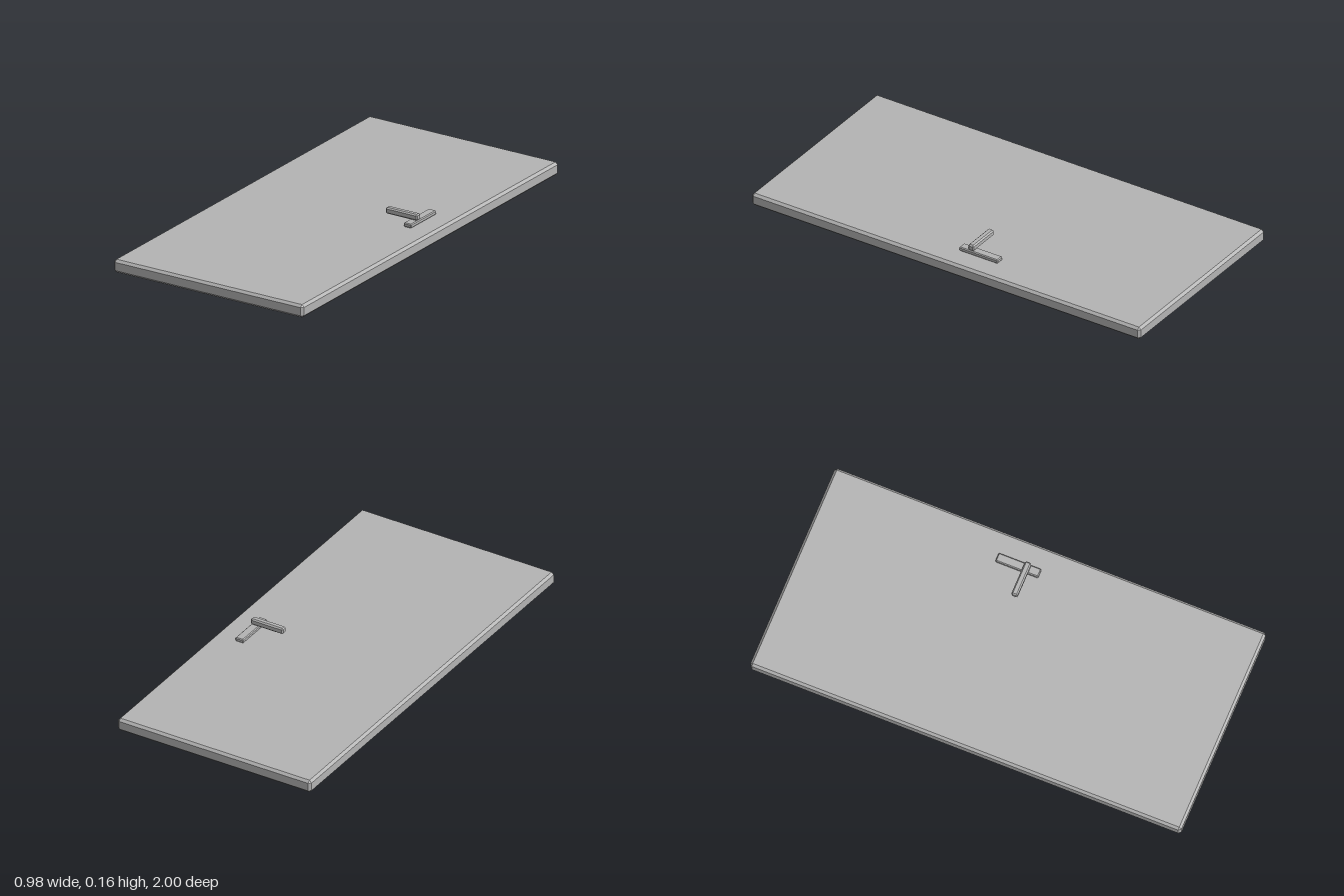
import * as THREE from 'three';
import { ConvexGeometry } from 'three/addons/geometries/ConvexGeometry.js';

// Box with flat chamfers on all edges
function chamferBox(w, h, d, c) {
  const half = [w / 2, h / 2, d / 2];
  const points = [];
  for (const sx of [-1, 1]) for (const sy of [-1, 1]) for (const sz of [-1, 1]) {
    for (let axis = 0; axis < 3; axis++) {
      const [x, y, z] = half.map((v, i) => (i === axis ? v : v - c));
      points.push(new THREE.Vector3(sx * x, sy * y, sz * z));
    }
  }
  return new ConvexGeometry(points);
}

export function createModel() {
  const model = new THREE.Group();
  model.name = 'door';
  const grey = new THREE.MeshStandardMaterial({ color: 0xb4b4b4 });
  grey.name = 'grey';
  const midY = 0.0775;

  const add = (name, geometry, x, y, z) => {
    const mesh = new THREE.Mesh(geometry, grey);
    mesh.name = name;
    mesh.position.set(x, y, z);
    model.add(mesh);
  };

  // Door leaf lying flat
  add('doorLeaf', chamferBox(0.976, 0.06, 2, 0.011), 0, midY, 0);

  // Thin raised panel on the underside
  add('raisedPanel', new THREE.BoxGeometry(0.836, 0.008, 1.73), 0, 0.0465, 0);

  // Back plate and lever on both faces
  for (const [side, s] of [['upper', 1], ['lower', -1]]) {
    add(side + 'HandlePlate', chamferBox(0.04, 0.019, 0.198, 0.004), 0.365, midY + s * 0.0395, -0.101);
    add(side + 'Lever', chamferBox(0.163, 0.029, 0.029, 0.006), 0.3035, midY + s * 0.063, -0.062);
  }
  return model;
}
